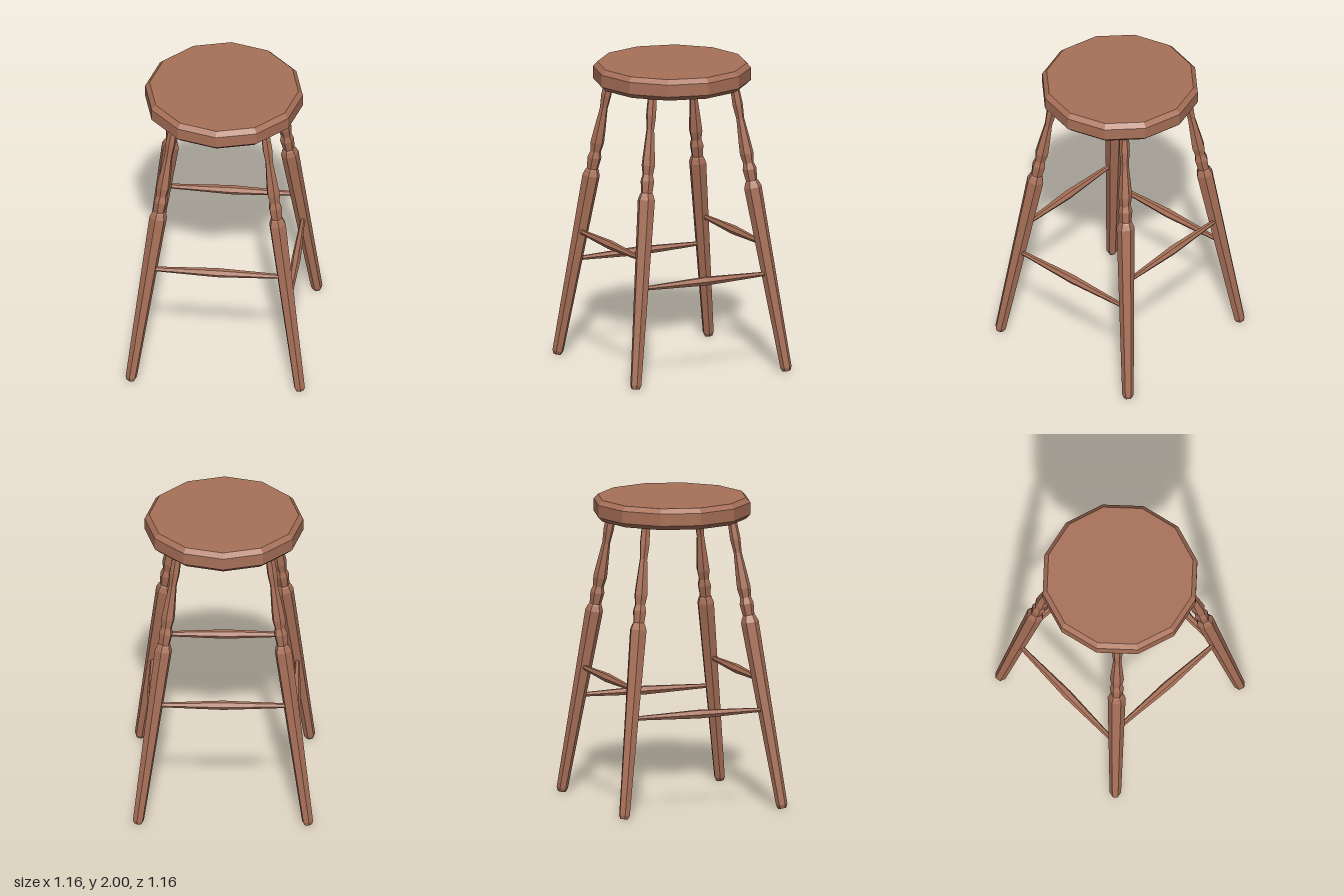
import * as THREE from 'three';

export function createModel() {
  const model = new THREE.Group();
  model.name = 'stool';
  const wood = new THREE.MeshStandardMaterial({ color: 0xa87058, flatShading: true });
  wood.name = 'brown wood';

  // Turned part: [radius, height] profile spun with a few sides, closed at both ends
  const turned = (name, profile, sides, phase = 0) => {
    const pts = [[0, profile[0][1]], ...profile, [0, profile[profile.length - 1][1]]];
    const geo = new THREE.LatheGeometry(pts.map(([r, y]) => new THREE.Vector2(r, y)), sides, phase);
    const mesh = new THREE.Mesh(geo, wood);
    mesh.name = name;
    return mesh;
  };

  // Seat: twelve-sided slab with bevelled rims
  model.add(turned('seat', [[0.48, 1.86], [0.512, 1.89], [0.512, 1.97], [0.483, 2]], 12));

  // Legs: splayed along the diagonals, with a flat face outwards
  const slope = 0.19;
  const stretch = Math.hypot(1, slope);
  const legProfile = [
    [0.027, 0.005], [0.037, 0.028], [0.058, 1.21], [0.045, 1.245], [0.038, 1.255],
    [0.046, 1.33], [0.035, 1.37], [0.045, 1.43], [0.04, 1.5], [0.026, 1.66],
    [0.034, 1.75], [0.029, 1.88],
  ].map(([r, y]) => [r, y * stretch]);
  const legNames = ['frontLeftLeg', 'backLeftLeg', 'backRightLeg', 'frontRightLeg'];
  legNames.forEach((name, i) => {
    const leg = new THREE.Group();
    leg.name = name;
    const post = turned('turnedPost', legProfile, 6, Math.PI / 6);
    post.rotation.x = -Math.atan(slope);
    post.position.z = 0.55 * Math.SQRT2;
    leg.add(post);
    leg.rotation.y = Math.PI / 4 + (i * Math.PI) / 2;
    model.add(leg);
  });

  // Stretchers: slim double-tapered bars, the side pair lower than the front and back pair
  const bar = [[0.014, -0.44], [0.03, 0], [0.014, 0.44]];
  for (const s of [1, -1]) {
    const across = turned(s > 0 ? 'frontStretcher' : 'backStretcher', bar, 6);
    across.rotation.z = Math.PI / 2;
    across.position.set(0, 0.835, s * 0.449);
    const side = turned(s > 0 ? 'leftStretcher' : 'rightStretcher', bar, 6, Math.PI / 6);
    side.rotation.x = Math.PI / 2;
    side.position.set(s * 0.468, 0.645, 0);
    model.add(across, side);
  }
  return model;
}
